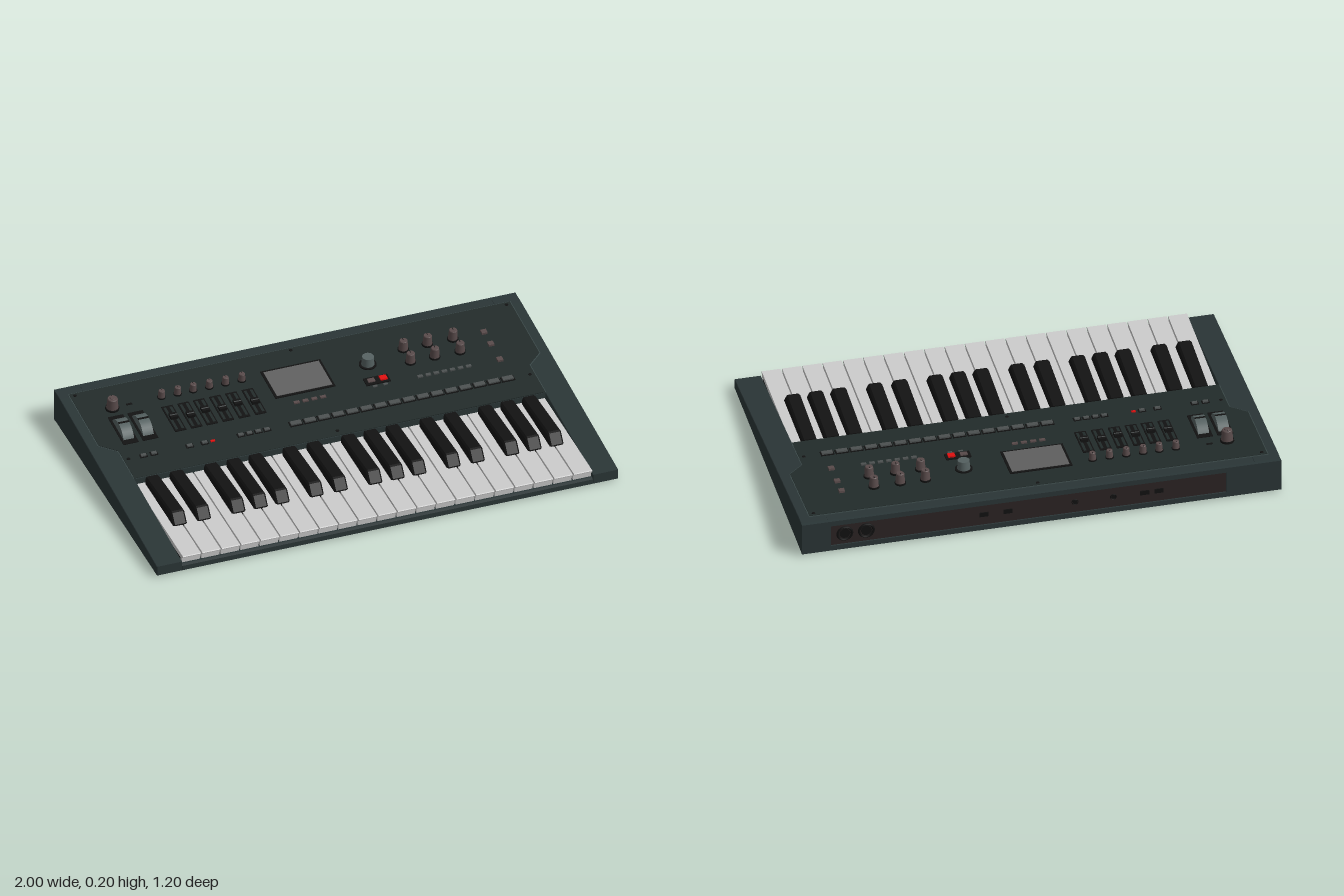
import * as THREE from 'three';

const mat = (color, extra = {}) => new THREE.MeshStandardMaterial({ color, ...extra });
const M = {
  body: mat(0x2a3536), panel: mat(0x222b2a), black: mat(0x121212), white: mat(0xcccccc),
  knob: mat(0x584a4a), wheel: mat(0x556161), screen: mat(0x606060), button: mat(0x4c5050),
  red: mat(0xe01010), rear: mat(0x2c2424), line: mat(0x3a4848),
};
const SLOPE = 0.0867, TOP0 = 0.102;

function add(parent, name, geometry, material, x = 0, y = 0, z = 0) {
  const mesh = new THREE.Mesh(geometry, material);
  mesh.name = name;
  mesh.position.set(x, y, z);
  parent.add(mesh);
  return mesh;
}

// box standing on y
const box = (p, name, m, x, y, z, w, h, d) =>
  add(p, name, new THREE.BoxGeometry(w, h, d), m, x, y + h / 2, z);

// side profile of [z, y] points, extruded across x and centred on x
function profile(p, name, m, pts, x, width, bevel = 0) {
  const shape = new THREE.Shape(pts.map(([z, y]) => new THREE.Vector2(-z, y)));
  const g = new THREE.ExtrudeGeometry(shape, {
    depth: width - 2 * bevel, bevelEnabled: bevel > 0, bevelSize: bevel,
    bevelThickness: bevel, bevelOffset: -bevel, bevelSegments: 1,
  });
  g.translate(0, 0, -(width - 2 * bevel) / 2).rotateY(Math.PI / 2);
  return add(p, name, g, m, x);
}

// flat plate with an [x, z] outline, extruded upwards
function plate(p, name, m, pts, y, h) {
  const shape = new THREE.Shape(pts.map(([x, z]) => new THREE.Vector2(x, -z)));
  const g = new THREE.ExtrudeGeometry(shape, { depth: h, bevelEnabled: false });
  return add(p, name, g.rotateX(-Math.PI / 2), m, 0, y);
}

const disc = (p, name, m, x, y, z, r, h, rTop = r, n = 20) =>
  add(p, name, new THREE.CylinderGeometry(rTop, r, h, n), m, x, y + h / 2, z);

// knob with a skirt, tapered cap and pointer
function knob(p, name, x, z, r, h) {
  const g = new THREE.Group();
  g.name = name;
  g.position.set(x, 0.004, z);
  p.add(g);
  disc(g, 'skirt', M.black, 0, 0, 0, r * 1.15, h * 0.15);
  disc(g, 'cap', M.knob, 0, h * 0.15, 0, r, h * 0.8, r * 0.85);
  disc(g, 'capTop', M.knob, 0, h * 0.95, 0, r * 0.85, h * 0.05, r * 0.75);
  box(g, 'pointer', M.black, 0, h * 0.97, -r * 0.4, r * 0.15, h * 0.04, r * 0.6);
}

function buildCase(p) {
  const B = 0.007;
  for (const s of [-1, 1]) {
    profile(p, 'sideCheek', M.body,
      [[0.6, B], [0.6, 0.05], [-0.53, 0.149], [-0.585, 0.15], [-0.585, B]], s * 0.945, 0.11, 0.002);
  }
  profile(p, 'mainCase', M.body,
    [[0.6, B], [0.6, 0.028], [0.588, 0.032], [0.045, 0.032], [0.045, 0.098], [-0.53, 0.148],
      [-0.585, 0.15], [-0.585, B]], 0, 1.78);
  // rear wall with a shallow window for the connector strip
  const wall = new THREE.Shape([[-1, B], [1, B], [1, 0.15], [-1, 0.15]].map(a => new THREE.Vector2(...a)));
  wall.holes.push(new THREE.Path([[-0.77, 0.03], [-0.77, 0.127], [0.88, 0.127], [0.88, 0.03]]
    .map(a => new THREE.Vector2(...a))));
  add(p, 'rearWall', new THREE.ExtrudeGeometry(wall, { depth: 0.016, bevelEnabled: false }), M.body, 0, 0, -0.6);
  box(p, 'rearStrip', M.rear, 0.055, 0.03, -0.59, 1.65, 0.097, 0.008);
  for (const [x, r] of [[0.82, 0.03], [0.73, 0.03], [-0.14, 0.012], [-0.3, 0.012]]) {
    add(p, 'jackRing', new THREE.TorusGeometry(r, r * 0.18, 6, 24), M.black, x, 0.08, -0.595);
    const hole = disc(p, 'jackSocket', M.black, x, 0, -0.594, r * 0.75, 0.004);
    hole.rotation.x = Math.PI / 2;
    hole.position.y = 0.08;
  }
  for (const x of [0.24, 0.14, -0.43, -0.49]) box(p, 'rearPort', M.black, x, 0.07, -0.595, 0.038, 0.02, 0.006);
  for (const x of [-0.8, 0.8]) for (const z of [0.445, -0.43])
    box(p, 'foot', M.black, x, 0, z, 0.08, 0.009, 0.08);
}

function buildKeys(p) {
  const n = 21, pitch = 1.78 / n;
  const hasSharp = [1, 1, 0, 1, 1, 1, 0];
  const nudge = [-0.012, 0.008, 0, -0.012, 0, 0.01, 0];
  for (let i = 0; i < n; i++) {
    const x = -0.89 + pitch * (i + 0.5);
    profile(p, 'whiteKey', M.white,
      [[0.597, 0.073], [0.6, 0.07], [0.599, 0.066], [0.588, 0.06], [0.586, 0.036], [0.046, 0.036], [0.046, 0.073]],
      x, pitch - 0.006);
    if (hasSharp[i % 7]) profile(p, 'blackKey', M.black,
      [[0.387, 0.06], [0.383, 0.078], [0.352, 0.117], [0.342, 0.12], [0.05, 0.102], [0.05, 0.06]],
      x + pitch / 2 + nudge[i % 7], 0.06, 0.007);
  }
  box(p, 'keyBedShadow', M.black, 0, 0.032, 0.31, 1.776, 0.02, 0.52);
}

function buildPanel(root) {
  const p = new THREE.Group();
  p.name = 'controlPanel';
  p.position.y = TOP0;
  p.rotation.x = Math.atan(SLOPE);
  root.add(p);
  const outline = o => [[-0.955 - o, -0.545 - o], [-0.955 - o, -0.2 + o / 2], [-0.89 - o, -0.14 + o / 2], [-0.89 - o, 0.043],
    [0.89 + o, 0.043], [0.89 + o, -0.14 + o / 2], [0.955 + o, -0.2 + o / 2], [0.955 + o, -0.545 - o]].reverse();
  plate(p, 'panelRim', M.line, outline(0.004), -0.005, 0.007);
  plate(p, 'panelPlate', M.panel, outline(0), -0.004, 0.008);
  for (const [x, z] of [[-0.935, -0.53], [0, -0.53], [0.935, -0.53], [-0.87, -0.08], [0.87, -0.08], [0, 0.015]])
    disc(p, 'screw', M.black, x, 0.003, z, 0.008, 0.003, 0.007, 10);

  // performance stick and two wheels
  knob(p, 'stick', -0.82, -0.405, 0.025, 0.055);
  disc(p, 'stickTip', M.knob, -0.82, 0.056, -0.405, 0.014, 0.006, 0.01);
  box(p, 'stickMark', M.black, -0.745, 0.003, -0.41, 0.025, 0.003, 0.01);
  for (const x of [-0.825, -0.74]) {
    box(p, 'wheelWell', M.black, x, 0.002, -0.262, 0.066, 0.005, 0.185);
    const w = add(p, 'wheel', new THREE.CylinderGeometry(0.077, 0.077, 0.046, 40), M.wheel, x, -0.032, -0.262);
    w.rotation.z = Math.PI / 2;
    box(p, 'wheelNotch', M.black, x, 0.0435, -0.262, 0.046, 0.0025, 0.01);
  }

  // six small knobs above six faders
  [-0.605, -0.535, -0.468, -0.398, -0.328, -0.257].forEach((x, i) => {
    knob(p, 'smallKnob', x, -0.41, 0.015, 0.037);
    box(p, 'faderFrame', M.black, x, 0.002, -0.265, 0.048, 0.006, 0.165);
    for (const s of [-1, 1]) box(p, 'faderScale', M.panel, x + s * 0.013, 0.007, -0.265, 0.011, 0.002, 0.145);
    const z = -0.27 + (i % 2) * 0.012;
    box(p, 'faderCap', M.black, x, 0.006, z, 0.032, 0.016, 0.03);
    box(p, 'faderCapLine', M.button, x, 0.022, z, 0.032, 0.001, 0.005);
  });

  // display, dial and power switch
  box(p, 'screenFrame', M.black, -0.038, 0.002, -0.345, 0.26, 0.006, 0.18);
  box(p, 'screen', M.screen, -0.038, 0.006, -0.345, 0.24, 0.004, 0.16);
  for (let i = 0; i < 4; i++) box(p, 'screenButton', M.knob, -0.095 + i * 0.038, 0.003, -0.205, 0.024, 0.007, 0.014);
  disc(p, 'dialSkirt', M.black, 0.265, 0.004, -0.345, 0.036, 0.005, 0.036, 32);
  disc(p, 'dial', M.wheel, 0.265, 0.009, -0.345, 0.027, 0.038, 0.024, 32);
  box(p, 'switchBase', M.black, 0.265, 0.003, -0.238, 0.105, 0.006, 0.046);
  box(p, 'darkSwitch', M.knob, 0.24, 0.008, -0.238, 0.03, 0.006, 0.022);
  box(p, 'redSwitch', M.red, 0.292, 0.008, -0.238, 0.03, 0.008, 0.026);
  for (const x of [0.245, 0.29]) box(p, 'tinyButton', M.button, x, 0.003, -0.204, 0.018, 0.005, 0.01);

  // large knobs and side buttons
  for (const x of [0.435, 0.54, 0.65]) for (const z of [-0.39, -0.305]) knob(p, 'largeKnob', x, z, 0.02, 0.05);
  for (const z of [-0.39, -0.31, -0.205]) box(p, 'sideButton', M.knob, 0.785, 0.003, z, 0.024, 0.01, 0.024);
  for (let i = 0; i < 7; i++) box(p, 'modeButton', M.button, 0.44 + i * 0.035, 0.003, -0.205, 0.022, 0.007, 0.014);

  // lower button row
  for (let i = 0; i < 16; i++) {
    box(p, 'stepButtonBase', M.black, -0.145 + i * 0.0612, 0.002, -0.08, 0.056, 0.005, 0.032);
    box(p, 'stepButton', M.button, -0.145 + i * 0.0612, 0.005, -0.08, 0.046, 0.008, 0.022);
  }
  for (const x of [-0.805, -0.76, -0.605, -0.54, -0.383, -0.346, -0.308, -0.27]) {
    box(p, 'rowButtonBase', M.black, x, 0.002, -0.08, 0.032, 0.004, 0.024);
    box(p, 'rowButton', M.button, x, 0.005, -0.08, 0.022, 0.007, 0.014);
  }
  box(p, 'recordButton', M.red, -0.505, 0.003, -0.08, 0.018, 0.006, 0.01);
}

export function createModel() {
  const root = new THREE.Group();
  root.name = 'keyboardSynthesizer';
  const body = new THREE.Group();
  body.name = 'case';
  const keys = new THREE.Group();
  keys.name = 'keys';
  root.add(body, keys);
  buildCase(body);
  buildKeys(keys);
  buildPanel(root);
  return root;
}
